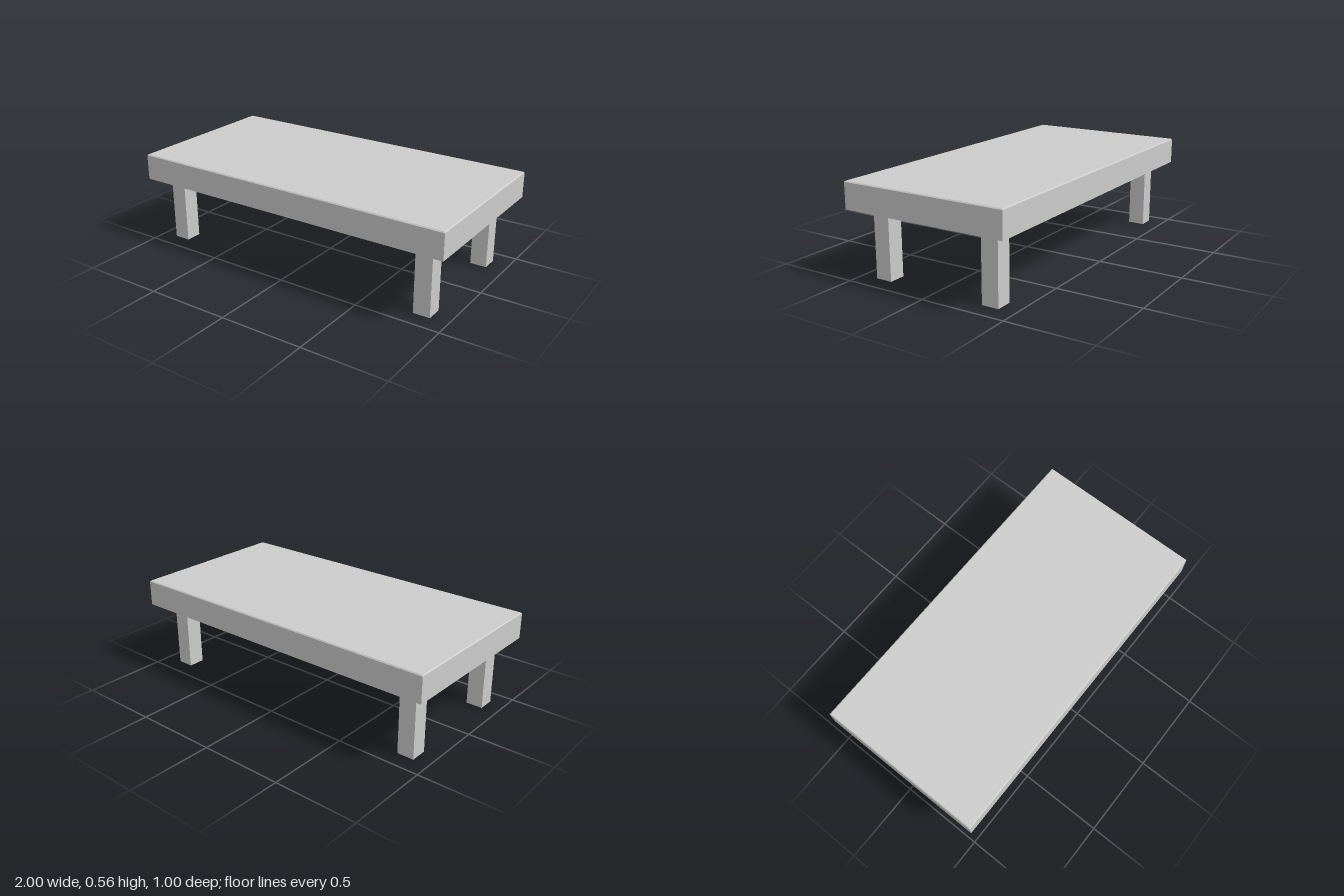
import * as THREE from 'three';

const LEG_TOP = 0.4;   // underside of the rim
const CEILING = 0.48;  // underside of the tabletop inside the rim
const TOP = 0.557;
const BEVEL = 0.006;

export function createModel() {
  const group = new THREE.Group();
  const material = new THREE.MeshStandardMaterial({ color: 0xcccccc, flatShading: true });

  const add = (name, geometry, x = 0, y = 0, z = 0) => {
    const mesh = new THREE.Mesh(geometry, material);
    mesh.name = name;
    mesh.position.set(x, y, z);
    group.add(mesh);
  };

  // Tabletop: a slab whose upper edges are slightly chamfered
  const slab = new THREE.BoxGeometry(2, TOP - CEILING, 1, 1, 2, 1);
  slab.translate(0, (TOP + CEILING) / 2, 0);
  const p = slab.attributes.position;
  for (let i = 0; i < p.count; i++) {
    const y = p.getY(i);
    if (y > TOP - 0.001) {
      p.setX(i, p.getX(i) - Math.sign(p.getX(i)) * BEVEL);
      p.setZ(i, p.getZ(i) - Math.sign(p.getZ(i)) * BEVEL);
    } else if (y > CEILING + 0.001) {
      p.setY(i, TOP - BEVEL);
    }
  }
  slab.computeVertexNormals();
  add('tabletop', slab);

  // Rim: a rectangular frame hanging below the edge of the tabletop
  const rectangle = (Type, w, d) => new Type([
    new THREE.Vector2(-w, -d), new THREE.Vector2(w, -d),
    new THREE.Vector2(w, d), new THREE.Vector2(-w, d),
  ]);
  const frame = rectangle(THREE.Shape, 1, 0.5);
  frame.holes.push(rectangle(THREE.Path, 0.9, 0.4));
  const rim = new THREE.ExtrudeGeometry(frame, { depth: CEILING - LEG_TOP, bevelEnabled: false });
  rim.rotateX(-Math.PI / 2);
  add('rim', rim, 0, LEG_TOP, 0);

  // Legs: square posts reaching up to the tabletop inside the rim
  const leg = new THREE.BoxGeometry(0.1, CEILING, 0.1);
  for (const [side, x] of [['Left', 0.845], ['Right', -0.858]]) {
    for (const [end, z] of [['front', 0.35], ['back', -0.35]]) {
      add(`${end}${side}Leg`, leg, x, CEILING / 2, z);
    }
  }
  return group;
}
